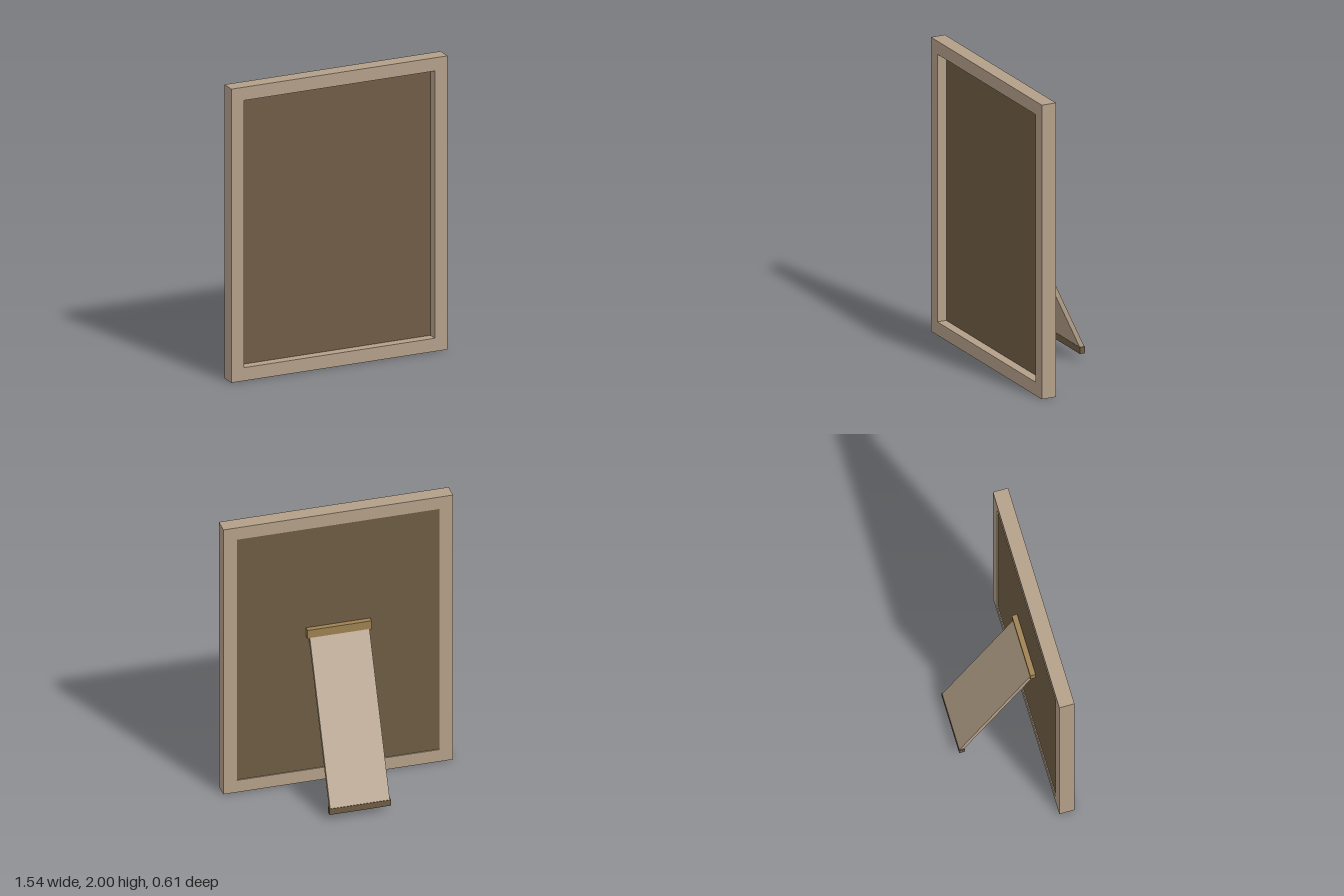
import * as THREE from 'three';

const mat = (name, color) => {
  const m = new THREE.MeshStandardMaterial({ color });
  m.name = name;
  return m;
};

// Extrude a polygon of [x, y] points to a given depth
function prism(points, depth) {
  const shape = new THREE.Shape(points.map(([x, y]) => new THREE.Vector2(x, y)));
  return new THREE.ExtrudeGeometry(shape, { depth, bevelEnabled: false });
}

export function createModel() {
  const wood = mat('light wood', 0xb39f88);
  const board = mat('dark board', 0x6e5b44);
  const brass = mat('brass', 0x9c8050);

  const group = new THREE.Group();
  group.name = 'standingFrame';
  const add = (name, geometry, material, x = 0, y = 0, z = 0) => {
    const mesh = new THREE.Mesh(geometry, material);
    mesh.name = name;
    mesh.position.set(x, y, z);
    group.add(mesh);
    return mesh;
  };

  // Four mitred rails
  const W = 0.77, H = 2, B = 0.09, depth = 0.102, backZ = 0.203;
  const outer = [[-W, 0], [W, 0], [W, H], [-W, H]];
  const inner = [[-W + B, B], [W - B, B], [W - B, H - B], [-W + B, H - B]];
  ['bottomRail', 'leftRail', 'topRail', 'rightRail'].forEach((name, i) => {
    const j = (i + 1) % 4;
    add(name, prism([outer[i], outer[j], inner[j], inner[i]], depth), wood, 0, 0, backZ);
  });

  // Backing board, set deep behind the front and almost flush at the back
  add('backingBoard', new THREE.BoxGeometry(2 * (W - B), H - 2 * B, 0.03), board, 0, H / 2, 0.225);

  // Hinge block
  add('hinge', new THREE.BoxGeometry(0.43, 0.064, 0.036), brass, 0, 1.132, 0.187);

  // Sloping support leg: side outline as [-z, y], extruded across x
  const leg = prism([[0.27, 0.09], [0.303, 0.09], [-0.169, 1.105], [-0.202, 1.105]], 0.4);
  leg.rotateY(Math.PI / 2);
  add('supportLeg', leg, wood, -0.2);

  // Foot strip under the leg
  add('foot', new THREE.BoxGeometry(0.412, 0.044, 0.038), board, 0, 0.07, -0.286);

  return group;
}
